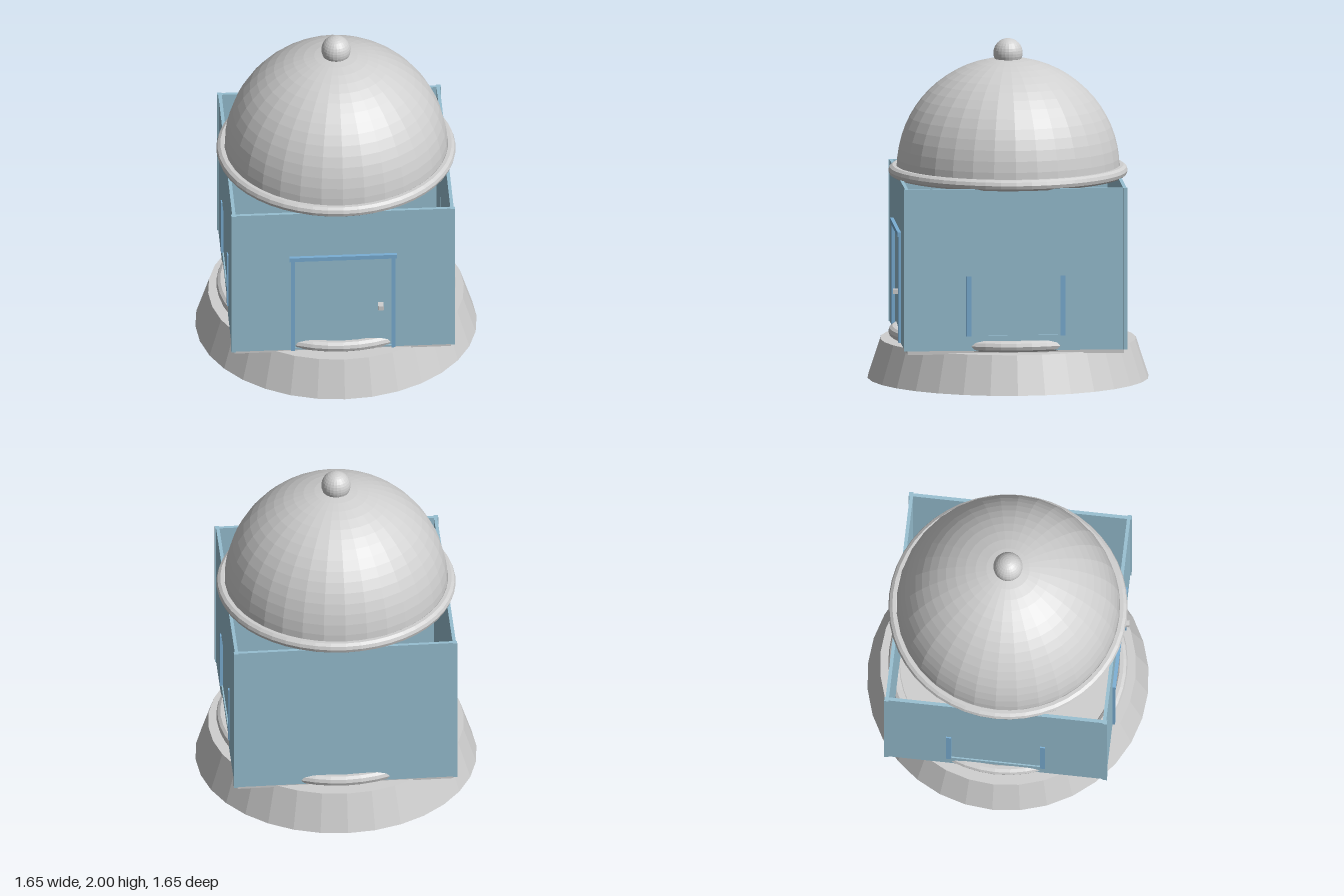
import * as THREE from 'three';

export function createModel() {
  const model = new THREE.Group();
  const material = (name, color, extra = {}) =>
    Object.assign(new THREE.MeshStandardMaterial({ color, flatShading: true, ...extra }), { name });
  const stone = material('stone grey', 0xcfcfcf);
  const domeGrey = material('dome grey', 0xcfcfcf, { side: THREE.DoubleSide });
  const wallBlue = material('wall blue', 0x97bfd1);
  const trimBlue = material('trim blue', 0x7aaed4);

  const add = (name, geometry, mat, x = 0, y = 0, z = 0, parent = model) => {
    const mesh = new THREE.Mesh(geometry, mat);
    mesh.name = name;
    mesh.position.set(x, y, z);
    parent.add(mesh);
    return mesh;
  };
  const box = (name, w, h, d, mat, x, y, z, parent) =>
    add(name, new THREE.BoxGeometry(w, h, d), mat, x, y, z, parent);

  // Round plinth and square floor
  add('plinth', new THREE.CylinderGeometry(0.75, 0.825, 0.23, 32), stone, 0, 0.115, 0);
  box('floor', 1.27, 0.03, 1.27, stone, 0, 0.237, 0);

  // Rings at the foot and the top of the walls
  for (const [name, y] of [['lowerRing', 0.27], ['upperRing', 1.222]]) {
    add(name, new THREE.TorusGeometry(0.667, 0.034, 10, 48).rotateX(Math.PI / 2), stone, 0, y, 0);
  }

  // Four thin walls, each built facing +z and turned; opening = [half width, bottom, top]
  const bottom = 0.245, top = 1.2, inner = 0.63, thick = 0.02;
  const wall = (name, turn, opening) => {
    const group = new THREE.Group();
    group.name = name;
    group.rotation.y = turn;
    model.add(group);
    const shape = new THREE.Shape([
      new THREE.Vector2(-0.64, bottom), new THREE.Vector2(0.64, bottom),
      new THREE.Vector2(0.64, top), new THREE.Vector2(-0.64, top)]);
    if (opening) {
      const [w, lo, hi] = opening;
      shape.holes.push(new THREE.Path([
        new THREE.Vector2(-w, lo), new THREE.Vector2(-w, hi),
        new THREE.Vector2(w, hi), new THREE.Vector2(w, lo)]));
      box(name + 'Panel', 2 * w, hi - lo, 0.01, wallBlue, 0, (lo + hi) / 2, inner + 0.007, group);
    }
    add(name + 'Sheet', new THREE.ExtrudeGeometry(shape, { depth: thick, bevelEnabled: false }),
      wallBlue, 0, 0, inner, group);
    return group;
  };
  const front = wall('frontWall', 0, [0.285, 0.255, 0.88]);
  wall('backWall', Math.PI, null);
  for (const [name, s] of [['leftWall', 1], ['rightWall', -1]]) {
    const side = wall(name, s * Math.PI / 2, [0.265, 0.335, 0.685]);
    // Window side strips
    for (const x of [-0.277, 0.277]) {
      box('windowStrip', 0.03, 0.355, 0.02, trimBlue, x, 0.508, 0.648, side);
    }
  }

  // Corner posts
  for (const x of [-0.643, 0.643]) for (const z of [-0.643, 0.643]) {
    box('cornerPost', 0.026, top - bottom, 0.026, wallBlue, x, (top + bottom) / 2, z);
  }

  // Door frame and knob
  for (const x of [-0.295, 0.295]) box('doorJamb', 0.022, 0.63, 0.03, trimBlue, x, 0.562, 0.65, front);
  box('doorLintel', 0.63, 0.026, 0.035, trimBlue, 0, 0.889, 0.653, front);
  box('doorKnob', 0.032, 0.026, 0.054, stone, 0.22, 0.541, 0.664, front);

  // Dome and finial
  add('dome', new THREE.SphereGeometry(0.655, 32, 16, 0, Math.PI * 2, 0, Math.PI / 2), domeGrey, 0, 1.23, 0);
  add('finial', new THREE.SphereGeometry(0.086, 24, 16), stone, 0, 1.914, 0);

  return model;
}
